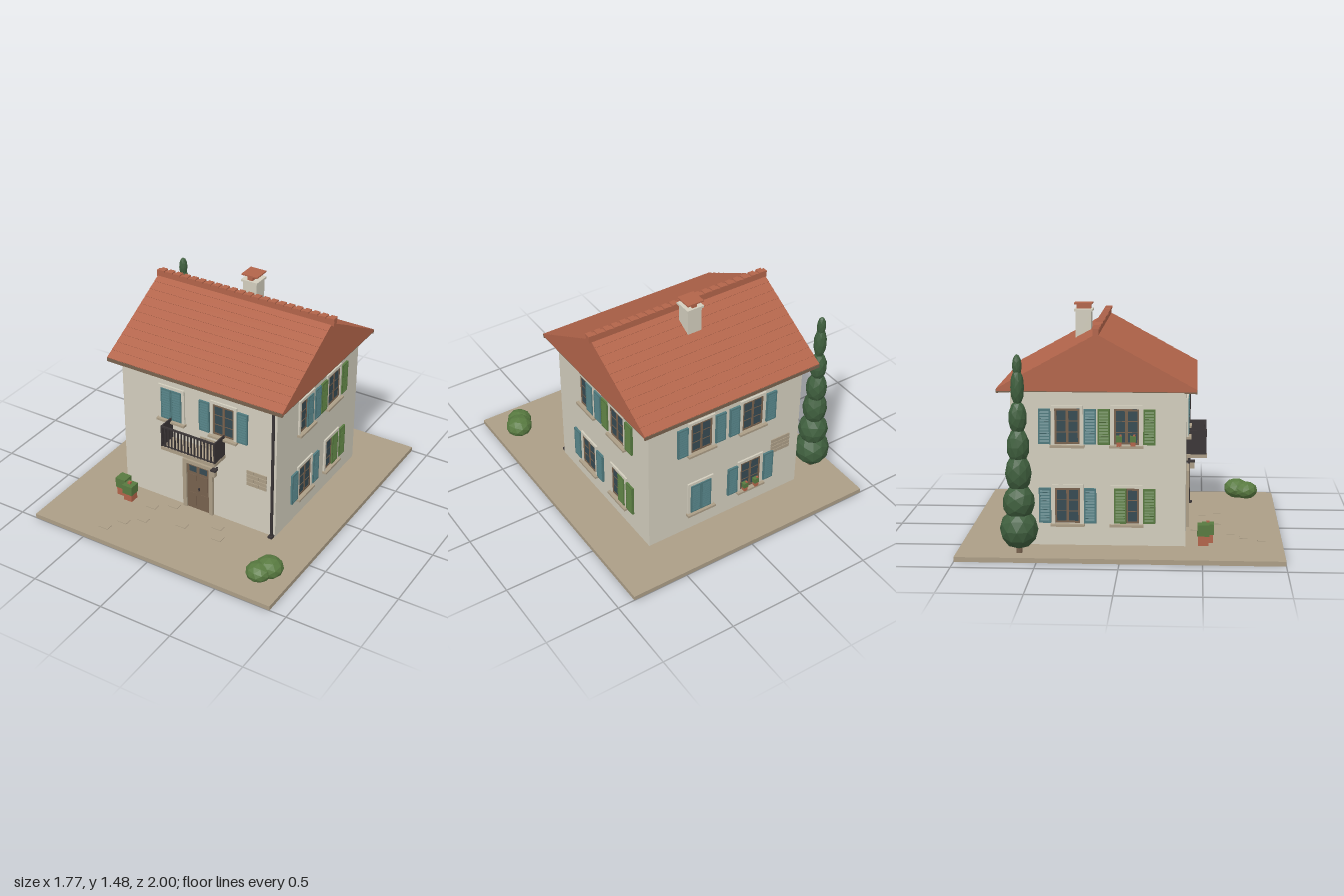
import * as THREE from 'three';

const material = (name, color, extra = {}) => {
  const m = new THREE.MeshStandardMaterial({ color, ...extra });
  m.name = name;
  return m;
};

export function createModel() {
  const wall = material('plaster', 0xd2cdbd);
  const stone = material('stone', 0xab9d86);
  const tile = material('terracotta', 0xb2644a);
  const teal = material('teal paint', 0x4f7a7e);
  const leaf = material('leaf green', 0x587a40, { flatShading: true });
  const cypressGreen = material('cypress green', 0x3f5f3e, { flatShading: true });
  const wood = material('brown wood', 0x77614d);
  const glass = material('dark glass', 0x364a52);
  const iron = material('dark iron', 0x3a3536);

  const model = new THREE.Group();
  model.name = 'house';
  const group = (name, parent = model) => {
    const g = new THREE.Group();
    g.name = name;
    parent.add(g);
    return g;
  };
  const mesh = (parent, name, geo, mat, x = 0, y = 0, z = 0) => {
    const m = new THREE.Mesh(geo, mat);
    m.name = name;
    m.position.set(x, y, z);
    parent.add(m);
    return m;
  };
  const box = (parent, name, mat, w, h, d, x, y, z) =>
    mesh(parent, name, new THREE.BoxGeometry(w, h, d), mat, x, y, z);

  // Ground slab and walls
  box(model, 'ground', stone, 1.77, 0.03, 2, 0, 0.015, 0);
  box(model, 'walls', wall, 1.15, 0.98, 1.078, 0, 0.52, -0.145);

  // Flat paving stones in the yard
  const paving = group('paving');
  [[-0.42, 0.87], [-0.35, 0.76], [-0.25, 0.68], [-0.28, 0.53], [-0.16, 0.45], [0, 0.6], [0.21, 0.5], [0.27, 0.6]]
    .forEach(([x, z]) => box(paving, 'pavingStone', stone, 0.07, 0.004, 0.05, x, 0.032, z));

  // Gabled roof with overlapping tile courses
  const roof = group('roof');
  const ridgeZ = -0.15, ridgeY = 1.355, eaveY = 1.02, run = 0.608;
  const gable = new THREE.Shape();
  gable.moveTo(-run, 1.008);
  gable.lineTo(run, 1.008);
  gable.lineTo(run, eaveY);
  gable.lineTo(0, ridgeY);
  gable.lineTo(-run, eaveY);
  const roofGeo = new THREE.ExtrudeGeometry(gable, { depth: 1.29, bevelEnabled: false });
  roofGeo.translate(0, 0, -0.645).rotateY(Math.PI / 2);
  mesh(roof, 'roofBody', roofGeo, tile, 0, 0, ridgeZ);
  const pitch = Math.atan2(ridgeY - eaveY, run);
  const courses = 11;
  const courseLength = Math.hypot(run, ridgeY - eaveY) / courses;
  for (const side of [1, -1]) {
    for (let i = 0; i < courses; i++) {
      const t = (i + 0.5) / courses;
      const course = box(roof, 'tileCourse', tile, 1.29, 0.004, courseLength, 0,
        ridgeY + (eaveY - ridgeY) * t + 0.001, ridgeZ + side * run * t);
      course.rotation.x = side * (pitch - 0.04);
    }
    // Eaves board and rafter ends
    box(roof, 'eavesBoard', wood, 1.29, 0.024, 0.012, 0, 1.008, ridgeZ + side * 0.605);
    for (let i = 0; i < 17; i++)
      box(roof, 'rafterEnd', wood, 0.022, 0.016, 0.075, -0.6 + i * 0.075, 1.001, ridgeZ + side * 0.57);
  }
  box(roof, 'soffit', wood, 1.288, 0.006, 1.2, 0, 1.006, ridgeZ);
  for (let i = 0; i < 22; i++) {
    const x = -0.622 + i * 0.0598;
    box(roof, 'ridgeTile', tile, 0.06, 0.045, 0.034, x, 1.367, ridgeZ - 0.003);
    box(roof, 'ridgeTileLip', tile, 0.04, 0.014, 0.046, x + 0.012, 1.39, ridgeZ - 0.003);
  }

  // Chimney with a tile hood
  const chimney = group('chimney');
  box(chimney, 'stack', wall, 0.1, 0.2, 0.1, 0.005, 1.335, -0.275);
  box(chimney, 'stackRim', wall, 0.12, 0.014, 0.12, 0.005, 1.438, -0.275);
  box(chimney, 'hoodSupport', tile, 0.036, 0.034, 0.092, 0.005, 1.46, -0.275);
  box(chimney, 'hood', tile, 0.117, 0.009, 0.117, 0.005, 1.48, -0.277);

  // Louvred shutter
  const H = 0.22;
  const shutter = (parent, x, mat, z = 0.009) => {
    const g = group('shutter', parent);
    g.position.set(x, 0, z);
    box(g, 'panel', mat, 0.075, H, 0.008, 0, 0, 0);
    for (const s of [-1, 1]) {
      box(g, 'stile', mat, 0.009, H, 0.014, s * 0.033, 0, 0);
      box(g, 'rail', mat, 0.057, 0.01, 0.014, 0, s * 0.105, 0);
    }
    for (let i = 0; i < 11; i++)
      box(g, 'slat', mat, 0.057, 0.012, 0.003, 0, -0.09 + i * 0.018, 0.005).rotation.x = -0.35;
  };

  // Potted plants on a sill
  const sillPlants = (parent) => {
    const g = group('sillPlants', parent);
    for (const x of [-0.045, 0.04]) {
      box(g, 'pot', tile, 0.03, 0.03, 0.024, x, -0.105, 0.019);
      box(g, 'plant', leaf, 0.036, 0.036, 0.028, x, -0.072, 0.019);
      box(g, 'flower', tile, 0.012, 0.012, 0.012, x + 0.008, -0.05, 0.024);
    }
  };

  // Window facing +z: leaves is a list of [offset, colour]
  const OPEN = 0.14, SHUT = 0.039;
  const addWindow = (name, x, y, z, turn, leaves, plants = false) => {
    const g = group(name);
    g.position.set(x, y, z);
    g.rotation.y = turn;
    box(g, 'glass', glass, 0.155, H, 0.004, 0, 0, 0.001);
    for (const s of [-1, 1]) {
      box(g, 'surroundSide', wall, 0.02, 0.24, 0.014, s * 0.0875, 0.002, 0.004);
      box(g, 'frameSide', wood, 0.012, H, 0.01, s * 0.0715, 0, 0.001);
      box(g, 'frameRail', wood, 0.131, 0.012, 0.01, 0, s * 0.104, 0.001);
    }
    box(g, 'surroundTop', wall, 0.195, 0.02, 0.014, 0, 0.122, 0.004);
    box(g, 'sill', stone, 0.21, 0.015, 0.04, 0, -0.123, 0.011);
    box(g, 'mullion', wood, 0.016, 0.196, 0.01, 0, 0, 0.001);
    for (const ty of [-0.035, 0.035])
      box(g, 'glazingBar', wood, 0.131, 0.005, 0.007, 0, ty, 0.001);
    leaves.forEach(([dx, mat]) => shutter(g, dx, mat));
    if (plants) sillPlants(g);
  };
  const both = (mat, d) => [[-d, mat], [d, mat]];
  const F = 0.395, B = -0.685, X = 0.576, UP = 0.78, LOW = 0.283;
  addWindow('frontLeftWindow', -0.195, UP, F, 0, both(teal, SHUT));
  addWindow('frontRightWindow', 0.193, UP, F, 0, both(teal, OPEN));
  const q = Math.PI / 2;
  addWindow('sideWindow', X, UP, 0.03, q, [[SHUT, teal], [OPEN, teal]]);
  addWindow('sideWindow', X, UP, -0.335, q, both(leaf, OPEN));
  addWindow('sideWindow', X, LOW, 0.03, q, both(teal, OPEN));
  addWindow('sideWindow', X, LOW, -0.335, q, [[SHUT, leaf], [OPEN, leaf]]);
  addWindow('sideWindow', -X, UP, 0.03, -q, both(leaf, OPEN), true);
  addWindow('sideWindow', -X, UP, -0.335, -q, both(teal, OPEN));
  addWindow('sideWindow', -X, LOW, 0.03, -q, [[-SHUT, leaf], [OPEN, leaf]]);
  addWindow('sideWindow', -X, LOW, -0.335, -q, both(teal, OPEN));
  addWindow('backWindow', 0.193, UP, B, Math.PI, both(teal, OPEN));
  addWindow('backWindow', -0.193, UP, B, Math.PI, both(teal, OPEN));
  addWindow('backWindow', 0.193, LOW, B, Math.PI, both(teal, SHUT));
  addWindow('backWindow', -0.193, LOW, B, Math.PI, both(teal, OPEN), true);

  // Front door
  const door = group('door');
  for (const s of [-1, 1]) {
    box(door, 'doorJamb', stone, 0.028, 0.375, 0.026, s * 0.1, 0.2175, 0.4);
    box(door, 'doorPane', glass, 0.056, 0.042, 0.006, s * 0.04, 0.343, 0.4);
    box(door, 'doorPanel', wood, 0.054, 0.11, 0.008, s * 0.042, 0.245, 0.4);
    box(door, 'doorPanel', wood, 0.054, 0.1, 0.008, s * 0.042, 0.105, 0.4);
  }
  box(door, 'doorLintel', stone, 0.228, 0.025, 0.028, 0, 0.393, 0.4);
  box(door, 'doorLeaf', wood, 0.172, 0.352, 0.012, 0, 0.206, 0.395);
  box(door, 'doorHandle', iron, 0.008, 0.02, 0.012, 0.008, 0.195, 0.405);

  // Wall lamp
  const lamp = group('lamp');
  box(lamp, 'lampArm', iron, 0.01, 0.01, 0.04, 0.14, 0.412, 0.41);
  box(lamp, 'lampCap', iron, 0.036, 0.012, 0.036, 0.14, 0.415, 0.432);
  box(lamp, 'lampBody', stone, 0.028, 0.042, 0.028, 0.14, 0.388, 0.432);

  // Balcony
  const balcony = group('balcony');
  box(balcony, 'balconySlab', stone, 0.405, 0.024, 0.135, 0, 0.522, 0.457);
  box(balcony, 'handrail', iron, 0.405, 0.01, 0.012, 0, 0.681, 0.517);
  box(balcony, 'bottomRail', iron, 0.4, 0.006, 0.008, 0, 0.54, 0.517);
  for (let i = 0; i < 17; i++)
    box(balcony, 'baluster', iron, 0.008, 0.15, 0.008, -0.196 + i * 0.0245, 0.608, 0.517);
  for (const s of [-1, 1])
    box(balcony, 'sideRailing', iron, 0.008, 0.152, 0.13, s * 0.197, 0.61, 0.458);

  // Exposed brick patches
  const bricks = (cx, cy, z, width, rows) => {
    const g = group('exposedBricks');
    for (let r = 0; r < rows; r++) {
      const split = r % 2 ? 0.35 : 0.62;
      const y = cy + (r - (rows - 1) / 2) * 0.029;
      box(g, 'brick', stone, width * split - 0.005, 0.025, 0.008, cx - width * (1 - split) / 2, y, z);
      box(g, 'brick', stone, width * (1 - split) - 0.005, 0.025, 0.008, cx + width * split / 2, y, z);
    }
  };
  bricks(0.435, 0.42, 0.396, 0.15, 4);
  bricks(0.072, 0.555, 0.396, 0.115, 4);
  bricks(-0.43, 0.42, -0.686, 0.15, 4);

  // Drainpipe
  mesh(model, 'drainpipe', new THREE.CylinderGeometry(0.01, 0.01, 0.97, 8), iron, 0.555, 0.515, 0.407);
  box(model, 'drainpipeFoot', iron, 0.03, 0.014, 0.035, 0.555, 0.037, 0.412);

  // Potted shrubs by the door
  const pots = group('pottedShrubs');
  for (const [x, z, h] of [[-0.528, 0.505, 0.06], [-0.455, 0.534, 0.053]]) {
    box(pots, 'pot', tile, 0.064, h, 0.064, x, 0.03 + h / 2, z);
    box(pots, 'shrub', leaf, 0.075, h + 0.012, 0.075, x, 0.036 + h * 1.5, z);
  }
  box(pots, 'flower', tile, 0.02, 0.015, 0.02, -0.457, 0.157, 0.534);

  // Faceted foliage blob
  const blob = (parent, name, mat, x, y, z, rx, ry, rz, turn) => {
    const b = mesh(parent, name, new THREE.IcosahedronGeometry(1, 1), mat, x, y, z);
    b.scale.set(rx, ry, rz);
    b.rotation.y = turn;
  };
  const bush = group('bush');
  blob(bush, 'bushFoliage', leaf, 0.735, 0.095, 0.745, 0.092, 0.07, 0.088, 0.4);
  blob(bush, 'bushFoliage', leaf, 0.698, 0.09, 0.81, 0.083, 0.062, 0.083, 1.3);

  // Cypress of stacked foliage
  const cypress = group('cypress');
  mesh(cypress, 'trunk', new THREE.CylinderGeometry(0.016, 0.02, 0.08, 7), wood, -0.762, 0.07, -0.615);
  [[0.18, 0.118, 0.125], [0.345, 0.1, 0.115], [0.525, 0.081, 0.125], [0.69, 0.07, 0.115],
    [0.865, 0.057, 0.105], [1.05, 0.042, 0.115], [1.18, 0.029, 0.07]]
    .forEach(([y, r, h], i) => blob(cypress, 'cypressFoliage', cypressGreen, -0.762, y, -0.615, r, h, r, i * 0.9));

  return model;
}
